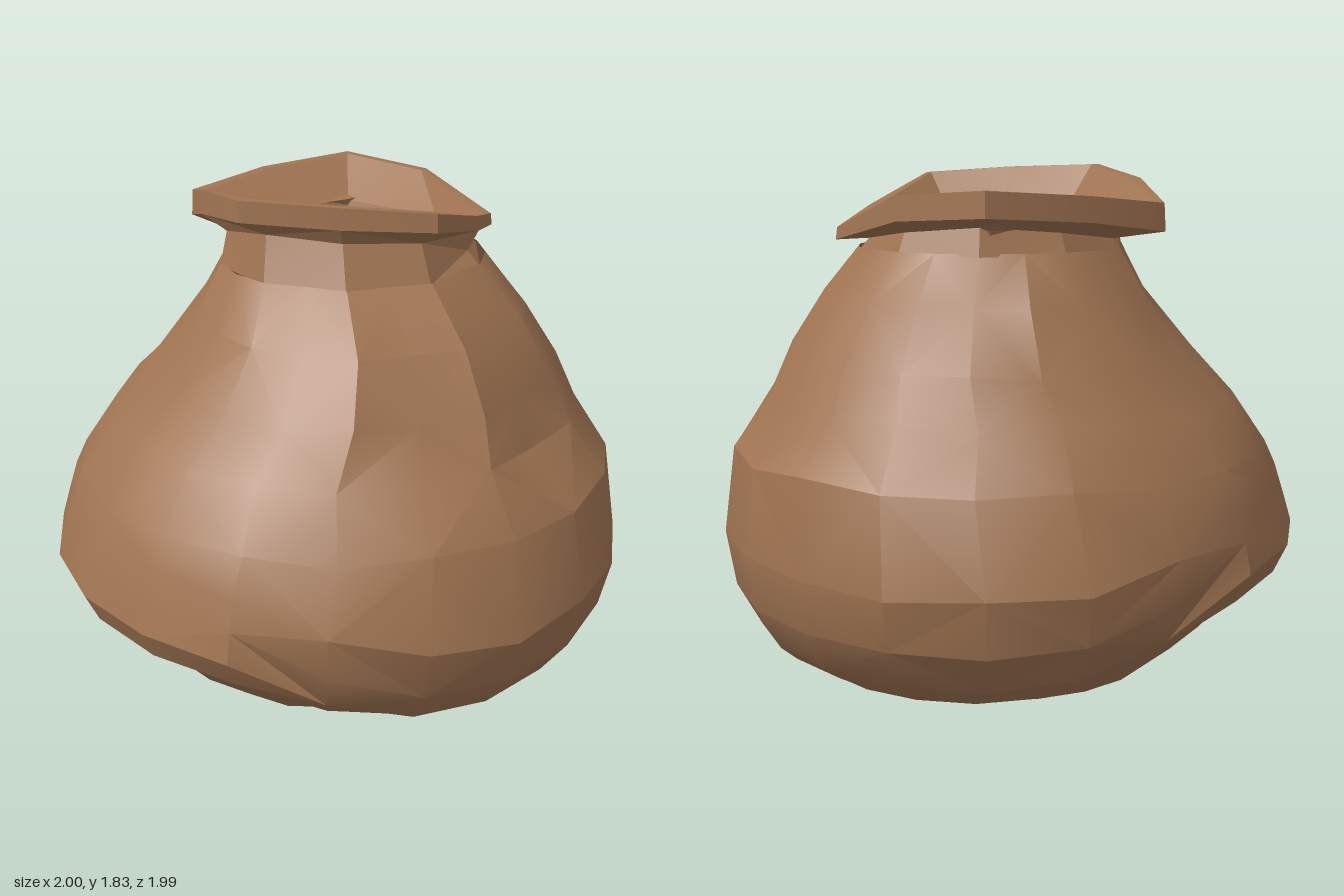
import * as THREE from 'three';
import { toCreasedNormals } from 'three/addons/utils/BufferGeometryUtils.js';

// Skin a stack of closed rings, each an array of [x, y, z] points
function loft(rings, crease) {
  const pos = [];
  const n = rings[0].length;
  const same = (p, q) => p.every((v, m) => v === q[m]);
  for (let i = 0; i < rings.length - 1; i++) {
    for (let j = 0; j < n; j++) {
      const k = (j + 1) % n;
      const a = rings[i][j], b = rings[i + 1][j], c = rings[i][k], d = rings[i + 1][k];
      // alternate the diagonals for an irregular, crumpled surface
      const tris = (i + j) % 2 ? [[a, b, c], [b, d, c]] : [[a, b, d], [a, d, c]];
      for (const t of tris) {
        if (same(t[0], t[1]) || same(t[1], t[2]) || same(t[0], t[2])) continue;
        pos.push(...t[0], ...t[1], ...t[2]);
      }
    }
  }
  const g = new THREE.BufferGeometry();
  g.setAttribute('position', new THREE.Float32BufferAttribute(pos, 3));
  g.computeVertexNormals();
  return toCreasedNormals(g, crease);
}

// Ellipse ring given by its x and z extents; yAt gives the height of each point
function ellipse(n, x0, x1, z0, z1, yAt) {
  return Array.from({ length: n }, (_, j) => {
    const t = (j / n) * Math.PI * 2;
    const c = Math.cos(t), s = Math.sin(t);
    return [(x0 + x1) / 2 + c * (x1 - x0) / 2, yAt(j), (z0 + z1) / 2 + s * (z1 - z0) / 2];
  });
}

export function createModel() {
  const group = new THREE.Group();
  const leather = new THREE.MeshStandardMaterial({ color: 0xa07452, side: THREE.DoubleSide });
  leather.name = 'brown leather';

  // Body sections: y, x min, x max, z min, z max, then the height and radius on the sagging right-hand side
  const sections = [
    [0.0, 0.05, 0.05, -0.02, -0.02],
    [0.03, -0.22, 0.28, -0.27, 0.25],
    [0.09, -0.5, 0.55, -0.47, 0.44, 0.1, 0.5],
    [0.13, -0.6, 0.7, -0.58, 0.55, 0.27, 0.7],
    [0.18, -0.7, 0.78, -0.66, 0.66, 0.4, 0.81],
    [0.21, -0.8, 0.83, -0.72, 0.72, 0.5, 0.95],
    [0.27, -0.88, 0.89, -0.84, 0.83, 0.6, 0.995],
    [0.42, -0.97, 0.97, -0.96, 0.95, 0.7, 0.965],
    [0.6, -1.0, 1.0, -1.0, 1.0, 0.8, 0.93],
    [0.9, -0.89, 0.96, -0.91, 0.9],
    [1.07, -0.77, 0.84, -0.79, 0.76],
    [1.22, -0.61, 0.77, -0.72, 0.67],
    [1.41, -0.48, 0.65, -0.6, 0.565],
    [1.57, -0.38, 0.53, -0.49, 0.36],
  ];
  // gathered folds below the neck: column and how far down they reach
  const pleats = { 3: 10, 5: 11, 7: 12, 11: 12, 16: 12 };
  const body = sections.map(([y, x0, x1, z0, z1, sideY = y, sideR], i) => {
    const wobble = i > 7 && i < 12 ? 0.012 : 0;
    const ring = ellipse(20, x0, x1, z0, z1, (j) => y + wobble * Math.sin(j * 2.4 + i * 1.7));
    return ring.map(([px, py, pz], j) => {
      const c = Math.cos((j / 20) * Math.PI * 2), s = Math.sin((j / 20) * Math.PI * 2);
      // sagging fold that overhangs the base on one side
      const sag = sideR ? THREE.MathUtils.clamp((0.3 - c) / 0.92, 0, 1) ** 2 : 0;
      const x = px + sag * ((sideR ?? 0) * c - px);
      const z = pz + sag * ((sideR ?? 0) * s - pz);
      const pinch = i >= pleats[j] ? 0.94 : 1;
      return [0.07 + (x - 0.07) * pinch, py + sag * (sideY - y), -0.06 + (z + 0.06) * pinch];
    });
  });
  // close the base in a single point
  body[0] = body[0].map(() => [0.05, 0, -0.02]);
  const sack = new THREE.Mesh(loft(body, 0.42), leather);
  sack.name = 'sackBody';
  group.add(sack);

  // Upper edge of the folded lip, from the left side round by the front; the last value is the hem's depth
  const edge = [
    [0.61, 1.64, -0.14, 0.04], [0.47, 1.7, 0.08, 0.05], [0.22, 1.8, 0.36, 0.06], [-0.07, 1.82, 0.28, 0.07],
    [-0.36, 1.83, 0.14, 0.07], [-0.41, 1.79, -0.17, 0.08], [-0.39, 1.72, -0.46, 0.09], [-0.1, 1.75, -0.6, 0.08],
    [0.24, 1.77, -0.66, 0.08], [0.46, 1.75, -0.4, 0.08],
  ];
  const cx = 0.08, cz = -0.12;
  const scaled = (k, yOf) => edge.map(([x, y, z, hem]) => [cx + (x - cx) * k, yOf(y, hem), cz + (z - cz) * k]);

  // Neck, rising from the body to the underside of the lip
  const neckTop = ellipse(10, -0.35, 0.5, -0.46, 0.28, (j) => Math.max(1.6, edge[j][1] - 0.12));
  const neck = new THREE.Mesh(loft([ellipse(10, -0.38, 0.53, -0.49, 0.35, () => 1.56), neckTop], 0.3), leather);
  neck.name = 'neck';
  group.add(neck);

  // Flared lip, running out under, over the edge and down into the mouth
  const lip = new THREE.Mesh(loft([
    neckTop,
    scaled(1.01, (y, hem) => y - hem),
    scaled(1, (y) => y),
    scaled(0.93, (y) => y),
    scaled(0.62, (y) => 1.62 + 0.15 * (y - 1.63)),
    scaled(0.54, () => 1.52),
    scaled(0, () => 1.46),
  ], 0.3), leather);
  lip.name = 'lip';
  group.add(lip);

  return group;
}
